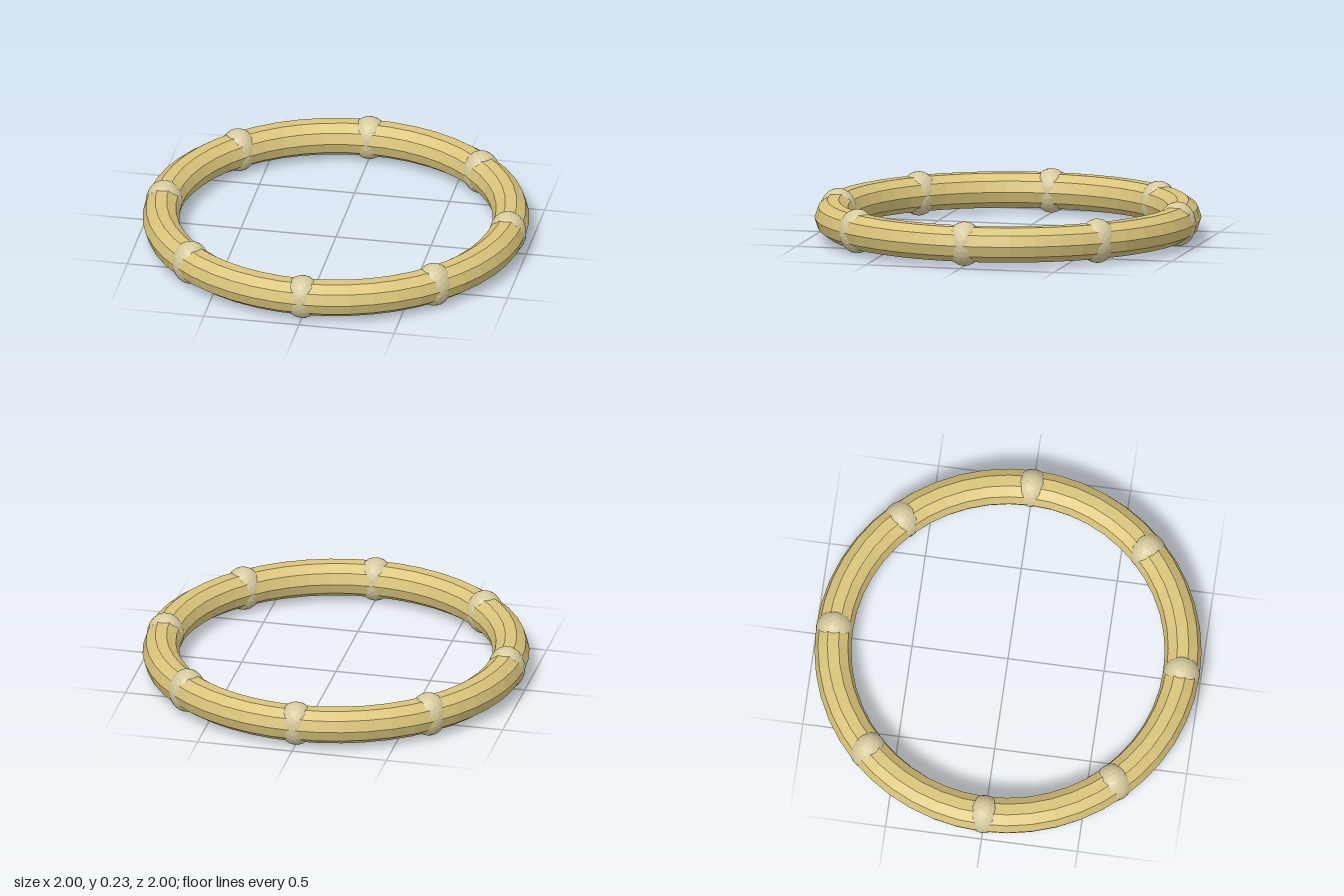
import * as THREE from 'three';

const RING = 0.904; // centre line radius of the ring
const TUBE = 0.095; // thickness of the tube
const KNOT_HEIGHT = 0.116; // half height of a knot
const KNOT_COUNT = 8;

export function createModel() {
  const model = new THREE.Group();
  model.name = 'knottedRing';

  const gold = new THREE.MeshStandardMaterial({ color: 0xd9c47a });
  gold.name = 'gold';
  gold.flatShading = true;
  const paleGold = new THREE.MeshStandardMaterial({ color: 0xd5c99c });
  paleGold.name = 'pale gold';
  paleGold.flatShading = true;

  // Ten-sided tube lying flat
  const ring = new THREE.Mesh(new THREE.TorusGeometry(RING, TUBE, 10, 48).rotateX(Math.PI / 2), gold);
  ring.name = 'ring';
  ring.position.y = KNOT_HEIGHT;
  model.add(ring);

  // Faceted knots, slightly taller than the tube, spaced evenly around it
  const knotGeometry = new THREE.IcosahedronGeometry(1, 3).scale(0.096, KNOT_HEIGHT, 0.096);
  for (let i = 0; i < KNOT_COUNT; i++) {
    const angle = (i / KNOT_COUNT) * Math.PI * 2;
    const knot = new THREE.Mesh(knotGeometry, paleGold);
    knot.name = `knot${i + 1}`;
    knot.position.set(Math.cos(angle) * RING, KNOT_HEIGHT, Math.sin(angle) * RING);
    model.add(knot);
  }

  return model;
}
